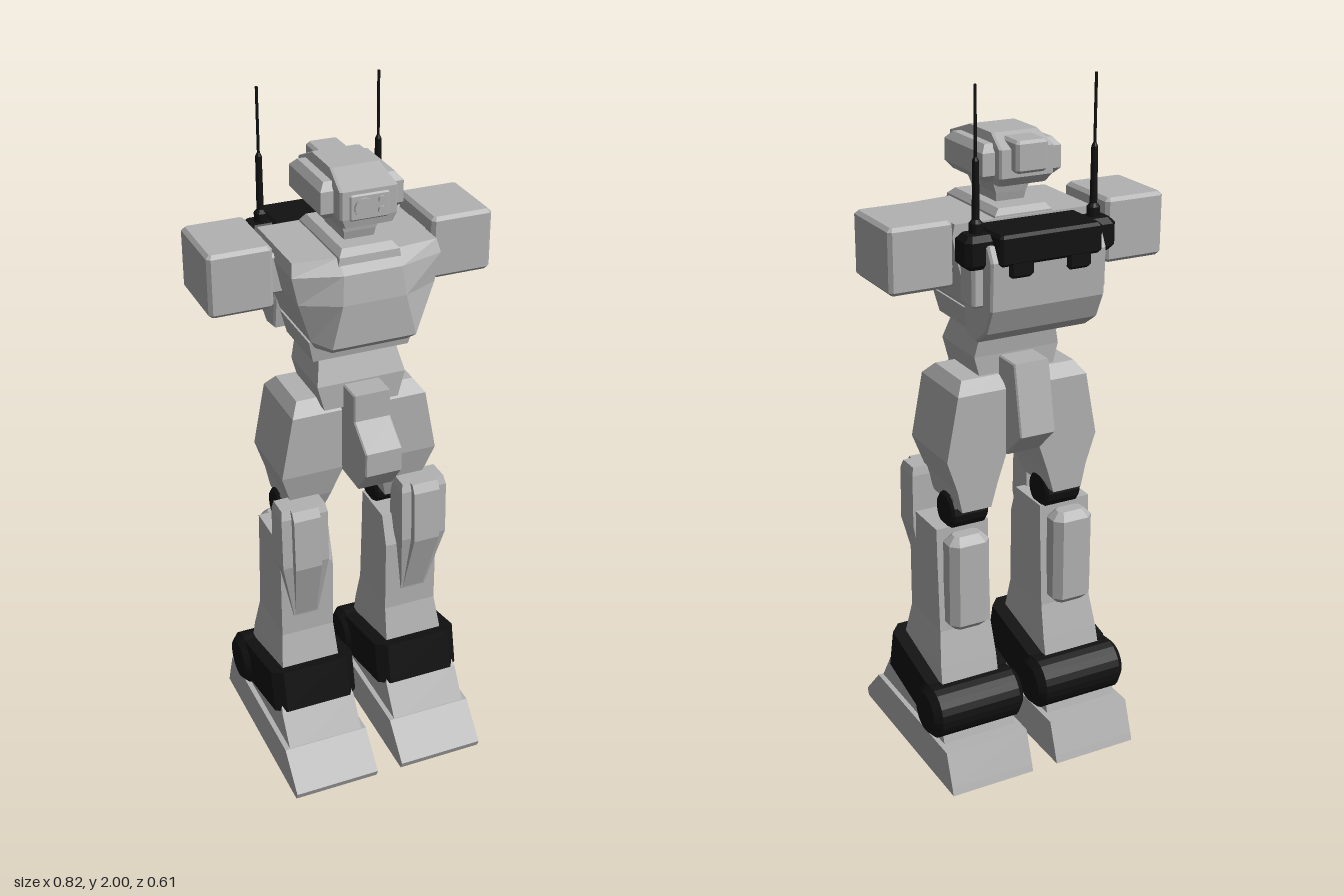
import * as THREE from 'three';

const grey = new THREE.MeshStandardMaterial({ color: 0xb2b2b2, flatShading: true });
grey.name = 'armour grey';
const black = new THREE.MeshStandardMaterial({ color: 0x111111, flatShading: true });
black.name = 'joint black';

// ring of a rectangle with optional cut corners, counter-clockwise from above
function rect(y, xa, xb, z0, z1, c = 0) {
  const x0 = Math.min(xa, xb), x1 = Math.max(xa, xb);
  const p = c
    ? [[x1 - c, z1], [x1, z1 - c], [x1, z0 + c], [x1 - c, z0], [x0 + c, z0], [x0, z0 + c], [x0, z1 - c], [x0 + c, z1]]
    : [[x1, z1], [x1, z0], [x0, z0], [x0, z1]];
  return p.map(([x, z]) => [x, y, z]);
}

// closed skin over rings listed from bottom to top
function loft(name, mat, rings) {
  const n = rings[0].length, idx = [];
  for (let r = 0; r < rings.length - 1; r++) {
    for (let i = 0; i < n; i++) {
      const a = r * n + i, b = r * n + (i + 1) % n;
      idx.push(a, b, b + n, a, b + n, a + n);
    }
  }
  const t = (rings.length - 1) * n;
  for (let i = 1; i < n - 1; i++) idx.push(0, i + 1, i, t, t + i, t + i + 1);
  const g = new THREE.BufferGeometry();
  g.setAttribute('position', new THREE.Float32BufferAttribute(rings.flat(2), 3));
  g.setIndex(idx);
  return finish(name, g.toNonIndexed(), mat);
}

function finish(name, g, mat) {
  g.computeVertexNormals();
  const m = new THREE.Mesh(g, mat);
  m.name = name;
  return m;
}

// box between two corners with all edges cut by c
function block(name, mat, xa, xb, y0, y1, z0, z1, c = 0.008) {
  const x0 = Math.min(xa, xb), x1 = Math.max(xa, xb);
  const small = y => rect(y, x0 + c, x1 - c, z0 + c, z1 - c, c * 0.5);
  return loft(name, mat, [small(y0), rect(y0 + c, x0, x1, z0, z1, c), rect(y1 - c, x0, x1, z0, z1, c), small(y1)]);
}

// side profile of [z, y] points, extruded across x
function profile(name, mat, pts, cx, width, bevel = 0.008) {
  const s = new THREE.Shape(pts.map(([z, y]) => new THREE.Vector2(z, y)));
  const d = width - 2 * bevel;
  const g = new THREE.ExtrudeGeometry(s, {
    depth: d, bevelEnabled: bevel > 0, bevelThickness: bevel, bevelSize: bevel, bevelOffset: -bevel, bevelSegments: 1,
  });
  g.translate(0, 0, -d / 2).rotateY(-Math.PI / 2).translate(cx, 0, 0);
  return finish(name, g, mat);
}

// lathe around the x axis with cut ends
function roller(name, mat, cx, y, z, r, width, c, sides = 24) {
  const h = width / 2;
  const pts = [[0, -h], [r - c, -h], [r, -h + c], [r, h - c], [r - c, h], [0, h]].map(p => new THREE.Vector2(...p));
  const g = new THREE.LatheGeometry(pts, sides);
  g.rotateZ(Math.PI / 2).translate(cx, y, z);
  return finish(name, g, mat);
}

function makeLeg(s) {
  const leg = new THREE.Group();
  leg.name = s > 0 ? 'leftLeg' : 'rightLeg';
  const R = (y, x0, x1, z0, z1, c) => rect(y, s * x0, s * x1, z0, z1, c);
  leg.add(
    loft('thigh', grey, [
      R(0.81, 0.1, 0.19, -0.155, 0.025), R(0.88, 0.08, 0.205, -0.155, 0.05),
      R(0.97, 0.05, 0.235, -0.155, 0.07), R(1.155, 0.05, 0.2, -0.155, 0.07),
      R(1.19, 0.06, 0.175, -0.125, 0.035),
    ]),
    roller('kneeJoint', black, s * 0.15, 0.79, -0.075, 0.055, 0.115, 0.008, 16),
    loft('kneeGuard', grey, [
      R(0.495, 0.135, 0.21, 0.05, 0.075), R(0.7, 0.115, 0.255, 0.03, 0.115),
      R(0.86, 0.115, 0.255, 0.03, 0.11), R(0.885, 0.12, 0.25, 0.035, 0.1),
    ]),
    loft('kneeGuardRidge', grey, [
      R(0.5, 0.14, 0.205, 0.04, 0.076), R(0.7, 0.145, 0.225, 0.05, 0.137),
      R(0.86, 0.145, 0.225, 0.05, 0.13), R(0.885, 0.145, 0.225, 0.05, 0.115),
    ]),
    loft('shin', grey, [
      R(0.2, 0.08, 0.265, -0.175, 0.11), R(0.33, 0.08, 0.258, -0.145, 0.095),
      R(0.43, 0.085, 0.247, -0.12, 0.07), R(0.66, 0.085, 0.247, -0.108, 0.07),
      R(0.75, 0.085, 0.247, -0.105, 0.04),
    ]),
    block('calfPod', grey, s * 0.105, s * 0.23, 0.44, 0.735, -0.172, -0.09, 0.022),
    loft('instep', grey, [
      R(0.1, 0.055, 0.285, -0.22, 0.225), R(0.21, 0.055, 0.285, -0.19, 0.155),
      R(0.27, 0.07, 0.27, -0.16, 0.11),
    ]),
    loft('foot', grey, [
      R(0, 0.04, 0.3, -0.302, 0.298), R(0.022, 0.04, 0.3, -0.295, 0.307), R(0.12, 0.04, 0.3, -0.26, 0.215),
    ]),
    roller('heelRoller', black, s * 0.17, 0.2, -0.152, 0.08, 0.29, 0.02),
  );
  const cuff = loft('ankleCuff', black, [
    rect(-0.064, -0.13, 0.13, -0.15, 0.145, 0.03), rect(0.064, -0.13, 0.13, -0.15, 0.145, 0.03),
  ]);
  cuff.position.set(s * 0.168, 0.243, 0.002);
  cuff.rotation.x = -0.22;
  leg.add(cuff);
  return leg;
}

function makeTorso() {
  const g = new THREE.Group();
  g.name = 'torso';
  // ring with a flat front and angled front corners
  const chest = (y, fx, fz, bx, sz, z0) =>
    [[fx, fz], [bx, sz], [bx, z0], [-bx, z0], [-bx, sz], [-fx, fz]].map(([x, z]) => [x, y, z]);
  g.add(
    loft('chest', grey, [
      chest(1.375, 0.11, 0.135, 0.14, 0.09, -0.13), chest(1.4, 0.12, 0.166, 0.155, 0.1, -0.14),
      chest(1.52, 0.09, 0.166, 0.195, 0.115, -0.155), chest(1.6, 0.083, 0.155, 0.212, 0.115, -0.155),
      chest(1.635, 0.08, 0.115, 0.205, 0.1, -0.155),
    ]),
    loft('collar', grey, [rect(1.6, -0.09, 0.09, -0.15, 0.135), rect(1.64, -0.085, 0.085, -0.15, 0.13), rect(1.657, -0.07, 0.07, -0.14, 0.11)]),
    loft('abdomen', grey, [rect(1.325, -0.14, 0.14, -0.12, 0.075), rect(1.39, -0.155, 0.155, -0.13, 0.085)]),
    loft('waist', grey, [
      rect(1.17, -0.11, 0.11, -0.115, 0.08), rect(1.245, -0.13, 0.13, -0.115, 0.08), rect(1.335, -0.11, 0.11, -0.125, 0.045),
    ]),
    block('hipBar', grey, -0.12, 0.12, 1.06, 1.18, -0.1, 0.05),
    profile('pelvis', grey, [
      [0.155, 1.24], [0.155, 1.16], [0.235, 1.1], [0.235, 1.03], [0.18, 0.96],
      [-0.155, 0.96], [-0.24, 1.04], [-0.2, 1.24],
    ], 0, 0.108, 0.004),
  );
  for (const s of [-1, 1]) {
    g.add(
      block('shoulderJoint', grey, s * 0.18, s * 0.24, 1.5, 1.615, -0.116, -0.01),
      block('shoulderPad', grey, s * 0.228, s * 0.408, 1.48, 1.658, -0.195, 0.03, 0.01),
    );
  }
  return g;
}

function makeBackpack() {
  const g = new THREE.Group();
  g.name = 'backpack';
  g.add(
    profile('pack', grey, [
      [-0.13, 1.6], [-0.13, 1.42], [-0.145, 1.33], [-0.2, 1.322], [-0.255, 1.36], [-0.287, 1.43], [-0.292, 1.56], [-0.27, 1.6],
    ], 0, 0.34, 0.006),
    block('packTop', black, -0.15, 0.15, 1.55, 1.632, -0.305, -0.155),
    block('packTopBar', black, -0.222, 0.222, 1.535, 1.625, -0.26, -0.175, 0.015),
  );
  for (const s of [-1, 1]) {
    g.add(
      block('packClasp', black, s * 0.05, s * 0.12, 1.515, 1.57, -0.303, -0.26),
      block('sidePod', grey, s * 0.15, s * 0.2, 1.43, 1.55, -0.245, -0.17),
    );
    // stepped whip antenna
    const profilePts = [[0, 1.6], [0.018, 1.6], [0.018, 1.65], [0.01, 1.66], [0.009, 1.81], [0.004, 1.82], [0.004, 2], [0, 2]];
    const lathe = new THREE.LatheGeometry(profilePts.map(p => new THREE.Vector2(...p)), 12);
    lathe.translate(s * 0.174, 0, -0.213);
    g.add(finish('antenna', lathe, black));
  }
  return g;
}

function makeHead() {
  const g = new THREE.Group();
  g.name = 'head';
  g.add(
    loft('neck', grey, [rect(1.64, -0.04, 0.04, -0.07, 0.055), rect(1.68, -0.045, 0.045, -0.08, 0.065), rect(1.73, -0.065, 0.065, -0.09, 0.07)]),
    loft('skull', grey, [
      rect(1.715, -0.07, 0.07, -0.145, 0.12, 0.006), rect(1.74, -0.08, 0.08, -0.168, 0.125, 0.006),
      rect(1.815, -0.08, 0.08, -0.168, 0.125, 0.006), rect(1.847, -0.068, 0.068, -0.1, 0.03, 0.006),
    ]),
    block('headBack', grey, -0.047, 0.047, 1.755, 1.84, -0.198, -0.1),
    loft('earPods', grey, [
      rect(1.725, -0.1, 0.1, -0.12, 0.06), rect(1.745, -0.116, 0.116, -0.14, 0.08),
      rect(1.805, -0.116, 0.116, -0.14, 0.08), rect(1.825, -0.1, 0.1, -0.12, 0.06),
    ]),
    block('facePlate', grey, -0.055, 0.055, 1.735, 1.805, 0.1, 0.13, 0.004),
  );
  // camera lens and two small sensors
  for (const [x, y, r] of [[-0.018, 1.77, 0.026], [0.032, 1.785, 0.01], [0.032, 1.757, 0.01]]) {
    const disc = new THREE.CylinderGeometry(r, r, 0.008, 20);
    disc.rotateX(Math.PI / 2).translate(x, y, 0.132);
    g.add(finish('lens', disc, grey));
  }
  return g;
}

export function createModel() {
  const model = new THREE.Group();
  model.name = 'walkerRobot';
  model.add(makeTorso(), makeBackpack(), makeHead(), makeLeg(1), makeLeg(-1));
  return model;
}
